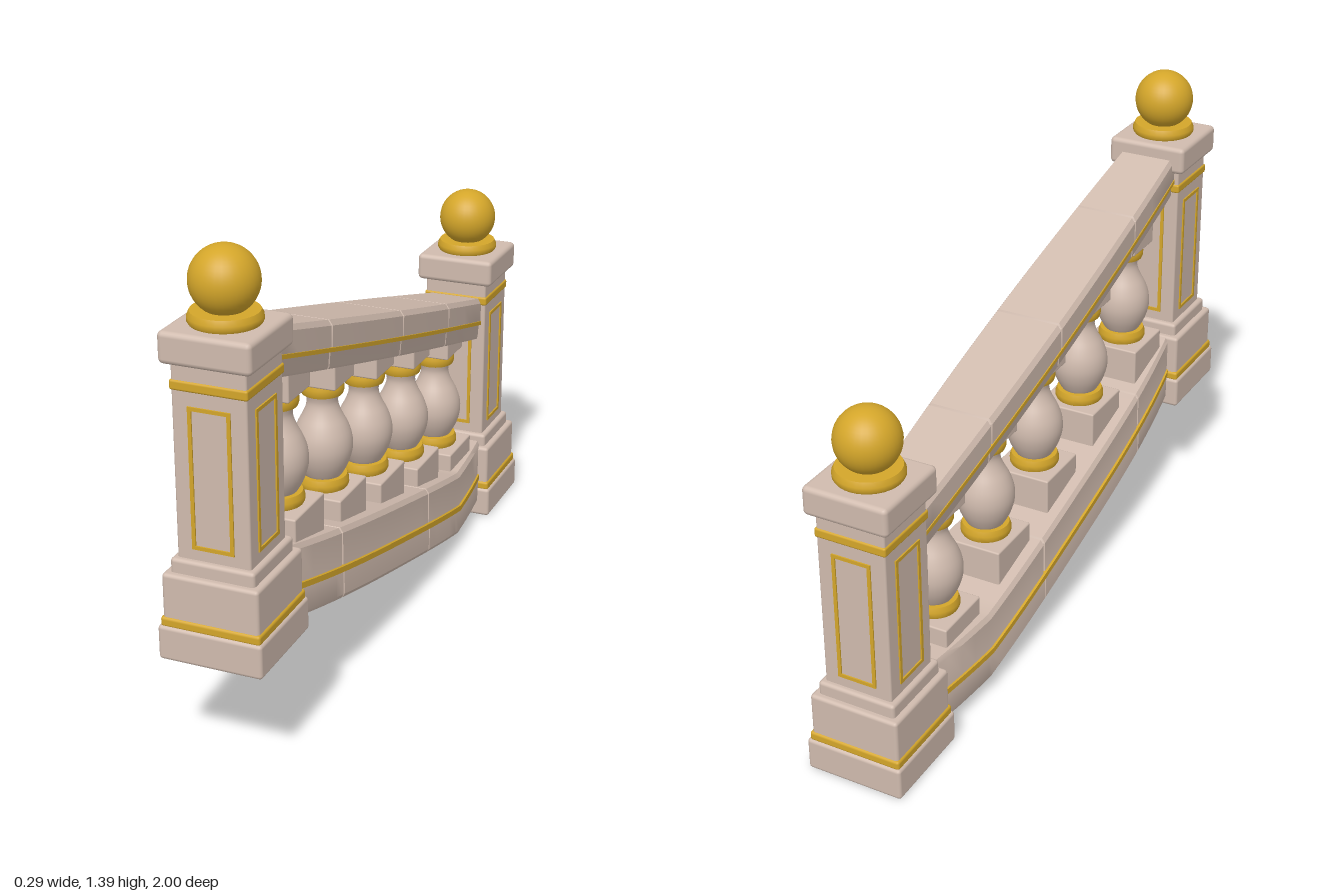
import * as THREE from 'three';
import { toCreasedNormals } from 'three/addons/utils/BufferGeometryUtils.js';
import { RoundedBoxGeometry } from 'three/addons/geometries/RoundedBoxGeometry.js';

const stone = new THREE.MeshStandardMaterial({ name: 'stone', color: 0xd0bbae });
const gold = new THREE.MeshStandardMaterial({ name: 'gold', color: 0xd4a62a });

function add(parent, name, geometry, material, x = 0, y = 0, z = 0) {
  const mesh = new THREE.Mesh(geometry, material);
  mesh.name = name;
  mesh.position.set(x, y, z);
  parent.add(mesh);
  return mesh;
}

// Square block between two heights
function block(parent, name, half, y0, y1, material, radius = 0.01) {
  const g = new RoundedBoxGeometry(half * 2, y1 - y0, half * 2, 2, radius);
  return add(parent, name, g, material, 0, (y0 + y1) / 2, 0);
}

function lathe(parent, name, points, material) {
  const g = new THREE.LatheGeometry(points.map(p => new THREE.Vector2(...p)), 32);
  return add(parent, name, toCreasedNormals(g, 0.7), material);
}

// Turned ring with rounded rim
function ring(parent, name, r, y0, y1) {
  const h = y1 - y0;
  lathe(parent, name, [[0, y0], [r * 0.94, y0], [r, y0 + h * 0.25], [r, y0 + h * 0.6],
    [r * 0.93, y1], [0, y1]], gold);
}

// Newel post with panels, bands and ball
function makePost(name, y, z) {
  const post = new THREE.Group();
  post.name = name;
  post.position.set(0, y, z);
  block(post, 'plinth', 0.143, 0, 0.095, stone);
  block(post, 'plinthBand', 0.137, 0.09, 0.118, gold, 0.008);
  block(post, 'pedestal', 0.132, 0.105, 0.237, stone);
  block(post, 'pedestalStep', 0.115, 0.22, 0.275, stone);
  block(post, 'shaft', 0.1, 0.25, 0.8, stone, 0.006);
  block(post, 'shaftBand', 0.104, 0.718, 0.745, gold, 0.006);
  block(post, 'cap', 0.123, 0.787, 0.87, stone, 0.014);
  ring(post, 'ballCollar', 0.093, 0.868, 0.902);
  add(post, 'ball', new THREE.SphereGeometry(0.088, 32, 24), gold, 0, 0.975, 0);

  // Thin gilded frame on every face of the shaft
  const frame = new THREE.Shape([[-0.057, 0.305], [0.057, 0.305], [0.057, 0.682], [-0.057, 0.682]]
    .map(p => new THREE.Vector2(...p)));
  frame.holes.push(new THREE.Path([[-0.047, 0.315], [-0.047, 0.672], [0.047, 0.672], [0.047, 0.315]]
    .map(p => new THREE.Vector2(...p))));
  const frameGeometry = new THREE.ExtrudeGeometry(frame, { depth: 0.005, bevelEnabled: false });
  frameGeometry.translate(0, 0, 0.099);
  for (let i = 0; i < 4; i++) {
    add(post, 'panelFrame', frameGeometry, gold).rotation.y = i * Math.PI / 2;
  }
  return post;
}

// Sweep a mirrored profile along z; profile x scales with width(z), y rides on base(z)
function sweep(profile, zs, width, base) {
  const ringPoints = [...profile, ...profile.map(([x, y]) => [-x, y]).reverse()];
  const n = ringPoints.length, pos = [], idx = [];
  zs.forEach(([z, inset]) => {
    const top = profile[profile.length - 1][1];
    for (const [x, y] of ringPoints) {
      pos.push(x * width(z) - Math.sign(x) * inset, base(z) + y - (y === top ? inset : 0), z);
    }
  });
  for (let i = 0; i < zs.length - 1; i++) {
    for (let j = 0; j < n; j++) {
      const a = i * n + j, b = i * n + (j + 1) % n;
      idx.push(a, a + n, b, b, a + n, b + n);
    }
  }
  const g = new THREE.BufferGeometry();
  g.setAttribute('position', new THREE.Float32BufferAttribute(pos, 3));
  g.setIndex(idx);
  return toCreasedNormals(g, 0.5);
}

// Stations from front to back, with a shallow V groove at each joint
function stations(end, joints, bends = []) {
  const zs = [];
  for (let i = 0; i <= 24; i++) zs.push([end - 2 * end * i / 24, 0]);
  bends.forEach(z => zs.push([z, 0]));
  const clear = zs.filter(([z]) => joints.every(j => Math.abs(z - j) > 0.008));
  joints.forEach(j => clear.push([j + 0.004, 0], [j, 0.005], [j - 0.004, 0]));
  return clear.sort((a, b) => b[0] - a[0]);
}

export function createModel() {
  const model = new THREE.Group();
  model.name = 'balustrade';
  model.add(makePost('upperPost', 0.323, 0.857), makePost('lowerPost', 0, -0.857));

  // Sloping handrail with gilded line
  const railBase = z => 0.812 + 0.2775 * z;
  const railWidth = z => 0.106 - 0.02 * (z / 0.76) ** 2;
  const railJoints = [0.455, -0.03, -0.42];
  const railProfile = [[0.86, 0], [0.9, 0.008], [0.93, 0.05], [1, 0.062], [1, 0.122], [0.9, 0.137]];
  add(model, 'handrail', sweep(railProfile, stations(0.775, railJoints), railWidth, railBase), stone);
  add(model, 'handrailLine', sweep([[0.9, 0.048], [1.025, 0.05], [1.025, 0.062], [0.9, 0.064]],
    stations(0.77, []), railWidth, railBase), gold);

  // Bowed curb that levels out at the foot
  const curbBase = z => 0.043 + 0.252 * Math.max(0, z + 0.48);
  const curbWidth = z => 0.137 - 0.033 * Math.abs(z / 0.72) ** 3;
  const curbProfile = [[0.95, 0], [1, 0.012], [1, 0.08], [0.97, 0.1], [0.97, 0.195], [0.9, 0.209]];
  add(model, 'curb', sweep(curbProfile, stations(0.745, [0.455, -0.18], [-0.48]), curbWidth, curbBase), stone);
  add(model, 'curbLine', sweep([[0.9, 0.078], [1.02, 0.081], [1.02, 0.098], [0.9, 0.101]],
    stations(0.74, [], [-0.48]), curbWidth, curbBase), gold);

  // Five turned balusters stepping down the slope
  for (let i = 0; i < 5; i++) {
    const baluster = new THREE.Group();
    baluster.name = 'baluster';
    baluster.position.set(0, 0.607 - 0.075 * i, 0.59 - 0.291 * i);
    block(baluster, 'balusterPlinth', 0.092, -0.13, 0, stone, 0.005);
    ring(baluster, 'lowerRing', 0.072, -0.002, 0.034);
    const vase = [[0.05, 0.03], [0.058, 0.042], [0.072, 0.07], [0.081, 0.1], [0.083, 0.127], [0.079, 0.155],
      [0.068, 0.185], [0.054, 0.212], [0.045, 0.235], [0.043, 0.255], [0.05, 0.28]];
    const curve = new THREE.SplineCurve(vase.map(p => new THREE.Vector2(...p)));
    add(baluster, 'vase', new THREE.LatheGeometry(curve.getPoints(30), 32), stone);
    ring(baluster, 'upperRing', 0.06, 0.272, 0.31);
    block(baluster, 'balusterHead', 0.067, 0.307, 0.40, stone, 0.005);
    model.add(baluster);
  }
  return model;
}
